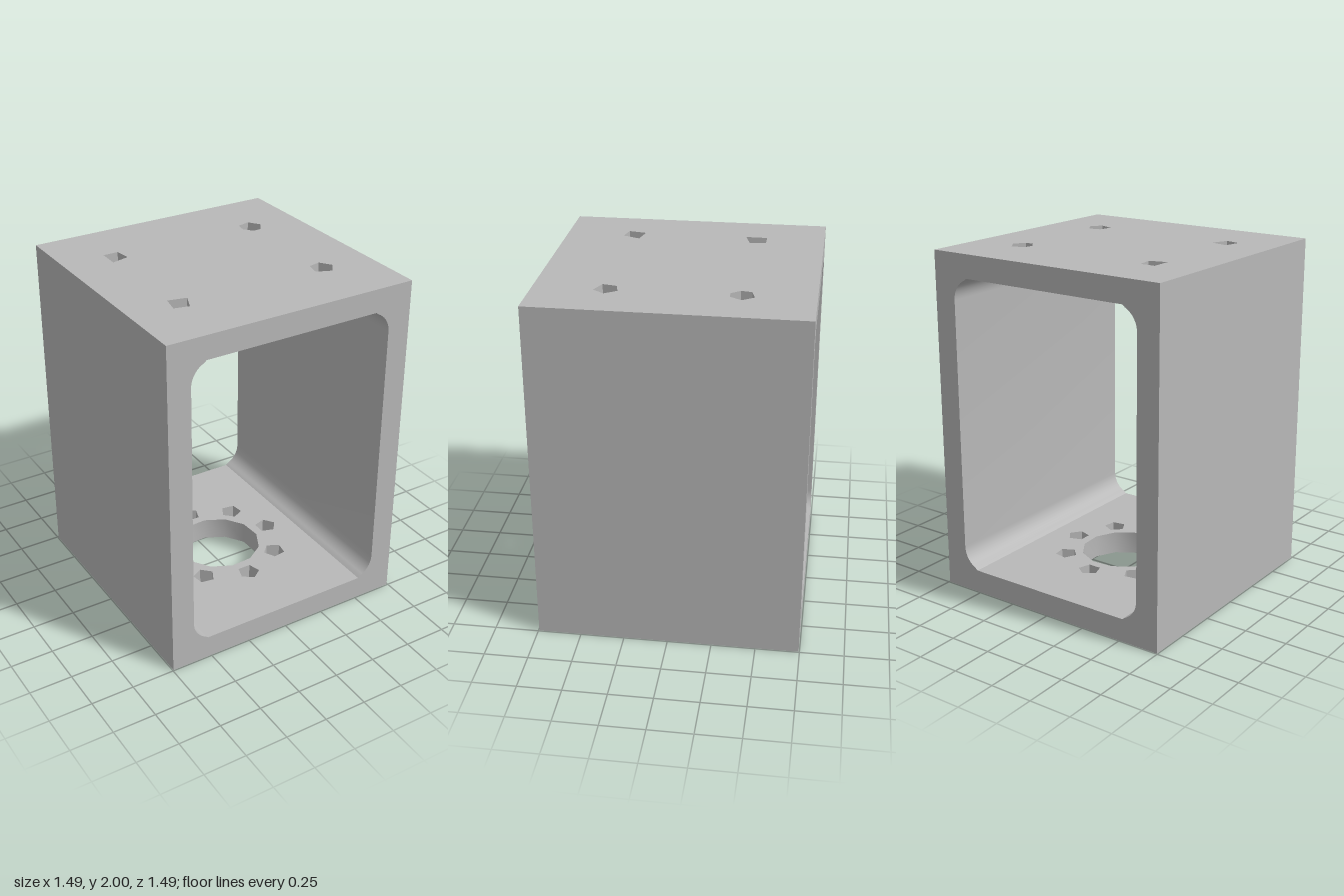
import * as THREE from 'three';
import { toCreasedNormals } from 'three/addons/utils/BufferGeometryUtils.js';

const HALF = 0.745;    // half of the width and depth
const HEIGHT = 2;
const WALL = 0.135;
const FILLET = 0.13;   // inner corner radius
const JOIN = 0.52;     // where the plates meet the side channels

// Regular polygon outline in plan (x, z)
function polygon(cx, cz, r, sides, turn = 0) {
  return Array.from({ length: sides }, (_, i) => {
    const a = turn + (i / sides) * Math.PI * 2;
    return [cx + r * Math.cos(a), cz + r * Math.sin(a)];
  });
}

// Horizontal plate pierced by polygonal holes
function plate(name, y, holes, material) {
  const d = HALF;
  const shape = new THREE.Shape([[-JOIN, -d], [JOIN, -d], [JOIN, d], [-JOIN, d]]
    .map(p => new THREE.Vector2(...p)));
  for (const hole of holes) {
    shape.holes.push(new THREE.Path(hole.map(([x, z]) => new THREE.Vector2(x, -z))));
  }
  const geo = new THREE.ExtrudeGeometry(shape, { depth: WALL, bevelEnabled: false });
  geo.rotateX(-Math.PI / 2).translate(0, y, 0);
  const mesh = new THREE.Mesh(toCreasedNormals(geo, 0.6), material);
  mesh.name = name;
  return mesh;
}

// Side wall with rounded inner corners; side is +1 or -1
function sideWall(name, side, material) {
  const pts = [[JOIN, HEIGHT], [JOIN, HEIGHT - WALL]];
  const cx = HALF - WALL - FILLET;
  const start = Math.acos((JOIN - cx) / FILLET);
  const arc = [];
  for (let i = 1; i <= 10; i++) {
    const a = start * (1 - i / 10);
    arc.push([cx + FILLET * Math.cos(a), HEIGHT - WALL - FILLET + FILLET * Math.sin(a)]);
  }
  pts.push(...arc, ...arc.slice().reverse().map(([x, y]) => [x, HEIGHT - y]));
  pts.push([JOIN, WALL], [JOIN, 0], [HALF, 0], [HALF, HEIGHT]);
  const shape = new THREE.Shape(pts.map(([x, y]) => new THREE.Vector2(side * x, y)));
  const geo = new THREE.ExtrudeGeometry(shape, { depth: 2 * HALF, bevelEnabled: false });
  geo.translate(0, 0, -HALF);
  const mesh = new THREE.Mesh(toCreasedNormals(geo, 0.6), material);
  mesh.name = name;
  return mesh;
}

export function createModel() {
  const group = new THREE.Group();
  group.name = 'mountingBracket';
  const grey = new THREE.MeshStandardMaterial({ color: 0xb8b8b8 });
  grey.name = 'plain grey';

  // Four rough screw holes in the top
  const topHoles = [
    [[-0.487, -0.415], [-0.4, -0.415], [-0.387, -0.322], [-0.488, -0.295]],
    [[-0.485, 0.295], [-0.38, 0.318], [-0.42, 0.415], [-0.505, 0.395]],
    [[0.39, -0.405], [0.465, -0.425], [0.51, -0.36], [0.47, -0.295], [0.42, -0.295], [0.38, -0.345]],
    [[0.395, 0.305], [0.465, 0.29], [0.51, 0.355], [0.465, 0.42], [0.378, 0.385]],
  ];

  // Large centre hole with a ring of eight small ones in the bottom
  const bottomHoles = [polygon(0, 0, 0.255, 12, 0.2)];
  for (let i = 0; i < 8; i++) {
    const a = (i * Math.PI) / 4;
    bottomHoles.push(polygon(0.352 * Math.cos(a), 0.352 * Math.sin(a), 0.065, 5, a));
  }

  group.add(
    plate('topPlate', HEIGHT - WALL, topHoles, grey),
    plate('bottomPlate', 0, bottomHoles, grey),
    sideWall('leftWall', 1, grey),
    sideWall('rightWall', -1, grey),
  );
  return group;
}
